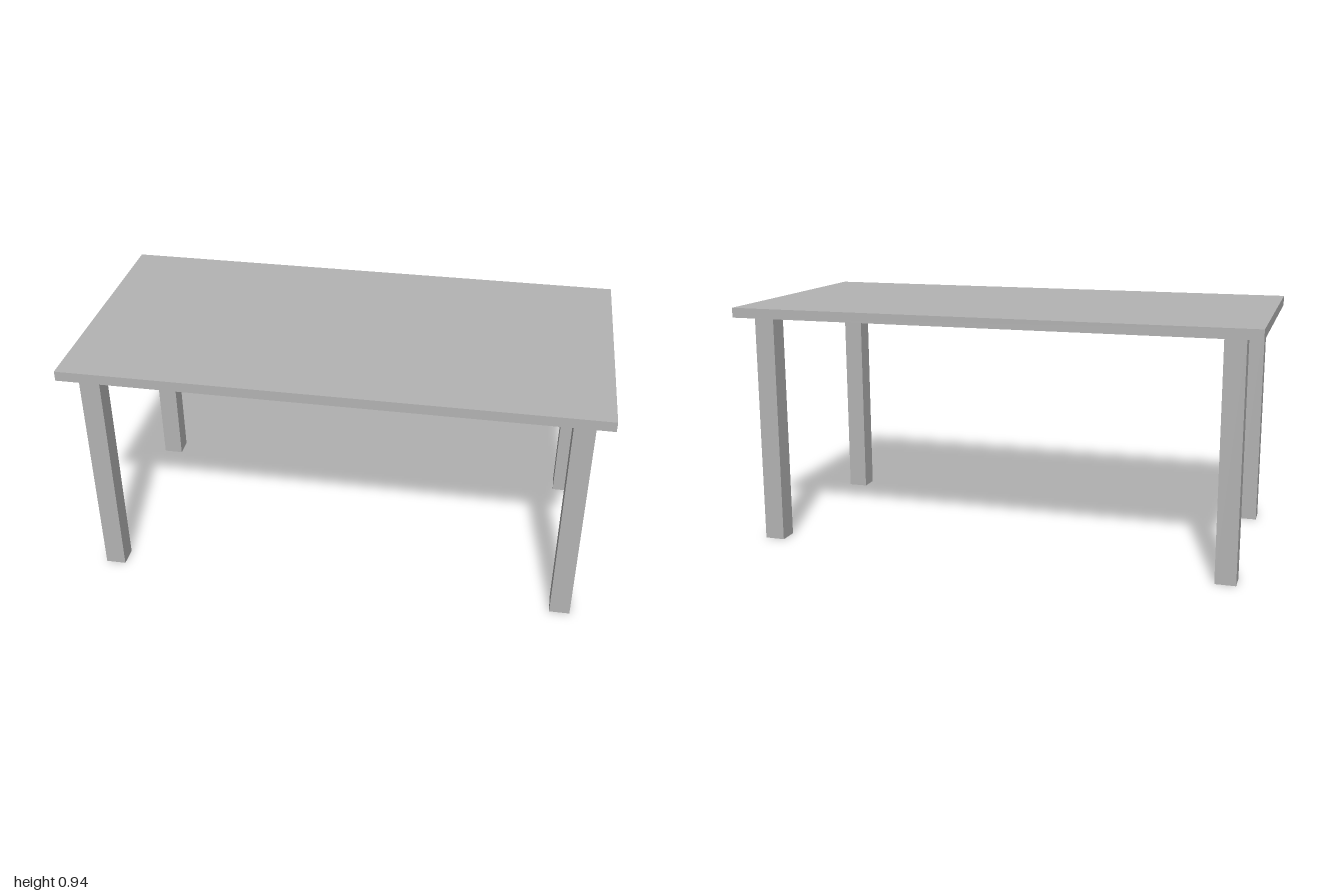
import * as THREE from 'three';

export function createModel() {
  const grey = new THREE.MeshStandardMaterial({ color: 0xb3b3b3 });
  grey.name = 'grey';

  const table = new THREE.Group();
  table.name = 'table';

  const legHeight = 0.9, topThickness = 0.038, legWidth = 0.078;

  // Table top
  const top = new THREE.Mesh(new THREE.BoxGeometry(2, topThickness, 1), grey);
  top.name = 'tableTop';
  top.position.y = legHeight + topThickness / 2;
  table.add(top);

  // Four square legs, inset from the corners
  const legGeometry = new THREE.BoxGeometry(legWidth, legHeight, legWidth);
  for (const [side, x] of [['Left', 0.9], ['Right', -0.9]]) {
    for (const [end, z] of [['front', 0.4], ['back', -0.4]]) {
      const leg = new THREE.Mesh(legGeometry, grey);
      leg.name = `${end}${side}Leg`;
      leg.position.set(x, legHeight / 2, z);
      table.add(leg);
    }
  }
  return table;
}
